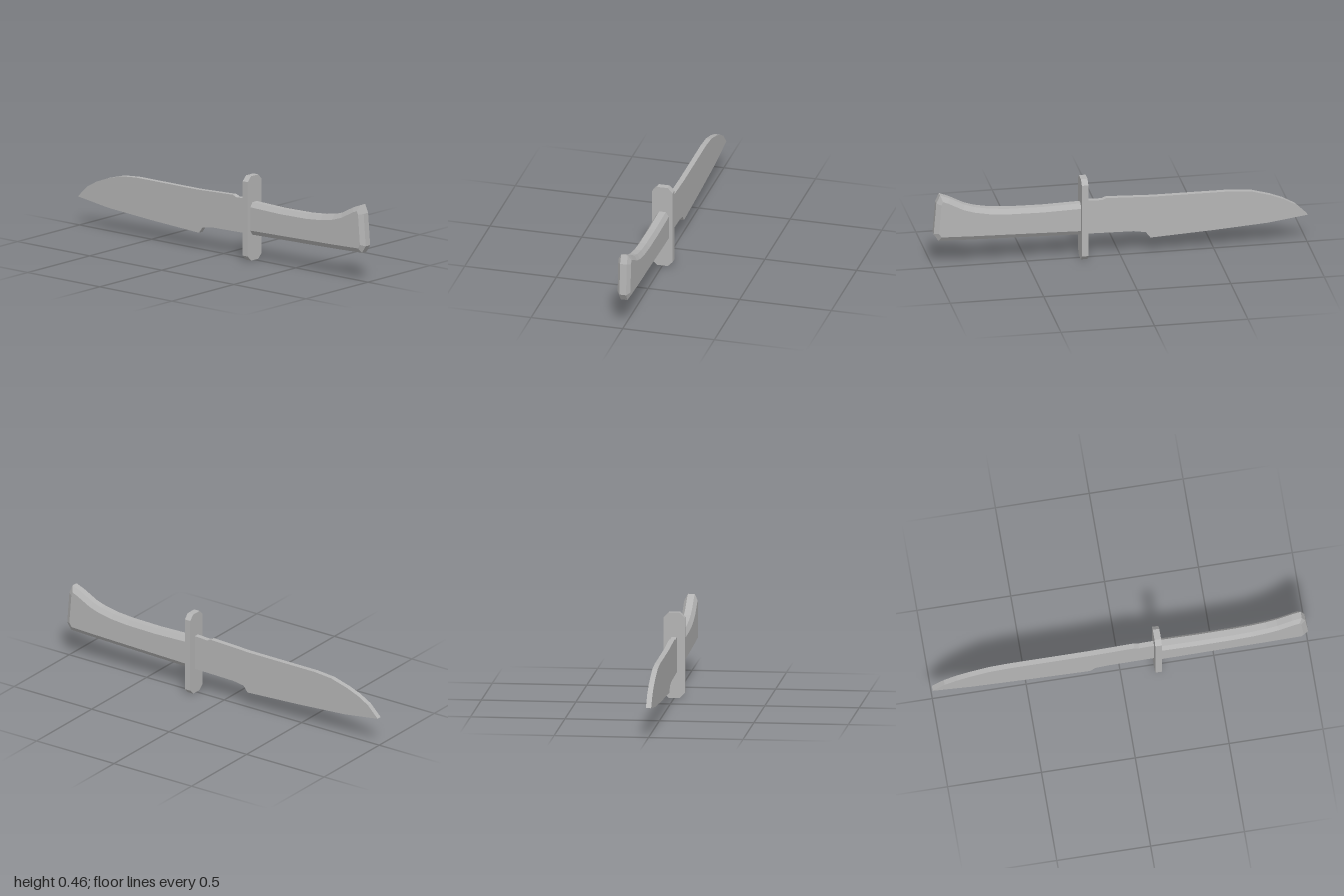
import * as THREE from 'three';

const steel = new THREE.MeshStandardMaterial({ color: 0xb4b4b4, flatShading: true });
steel.name = 'grey';

// Extrudes an outline to a total depth centred on z = 0; bevel cuts inward from the outline.
function slab(name, points, depth, bevelSize = 0, bevelThickness = 0) {
  const shape = new THREE.Shape(points.map(([x, y]) => new THREE.Vector2(x, y)));
  const core = depth - 2 * bevelThickness;
  const geometry = new THREE.ExtrudeGeometry(shape, {
    depth: core,
    bevelEnabled: bevelSize > 0,
    bevelSize,
    bevelOffset: -bevelSize,
    bevelThickness,
    bevelSegments: 1,
  });
  geometry.translate(0, 0, -core / 2);
  const mesh = new THREE.Mesh(geometry, steel);
  mesh.name = name;
  return mesh;
}

export function createModel() {
  const model = new THREE.Group();
  model.name = 'knife';

  // Clip-point blade with a notch near the guard
  const blade = slab('blade', [
    [-1, 0.157], [-0.79, 0.128], [-0.5, 0.108], [-0.16, 0.09], [-0.135, 0.123], [-0.07, 0.133], [0.19, 0.138],
    [0.19, 0.327], [0.1, 0.322], [0.075, 0.332], [-0.17, 0.322], [-0.595, 0.321], [-0.7, 0.312],
    [-0.8, 0.284], [-0.87, 0.257], [-0.936, 0.22],
  ], 0.028);

  // Upright guard with cut corners
  const w = 0.056, h = 0.456, c = 0.027;
  const guard = slab('guard', [
    [-w + c, 0], [w - c, 0], [w, c], [w, h - c], [w - c, h], [-w + c, h], [-w, h - c], [-w, c],
  ], 0.035);
  guard.rotation.y = Math.PI / 2;
  guard.position.x = 0.197;

  // Bevelled handle flaring up at the pommel
  const handle = slab('handle', [
    [0.188, 0.138], [0.5, 0.145], [0.8, 0.152], [0.975, 0.158], [1, 0.197], [0.986, 0.37], [0.966, 0.415],
    [0.915, 0.395], [0.835, 0.353], [0.78, 0.335], [0.7, 0.32], [0.6, 0.312], [0.42, 0.309], [0.188, 0.315],
  ], 0.07, 0.025, 0.017);

  model.add(blade, guard, handle);
  return model;
}
